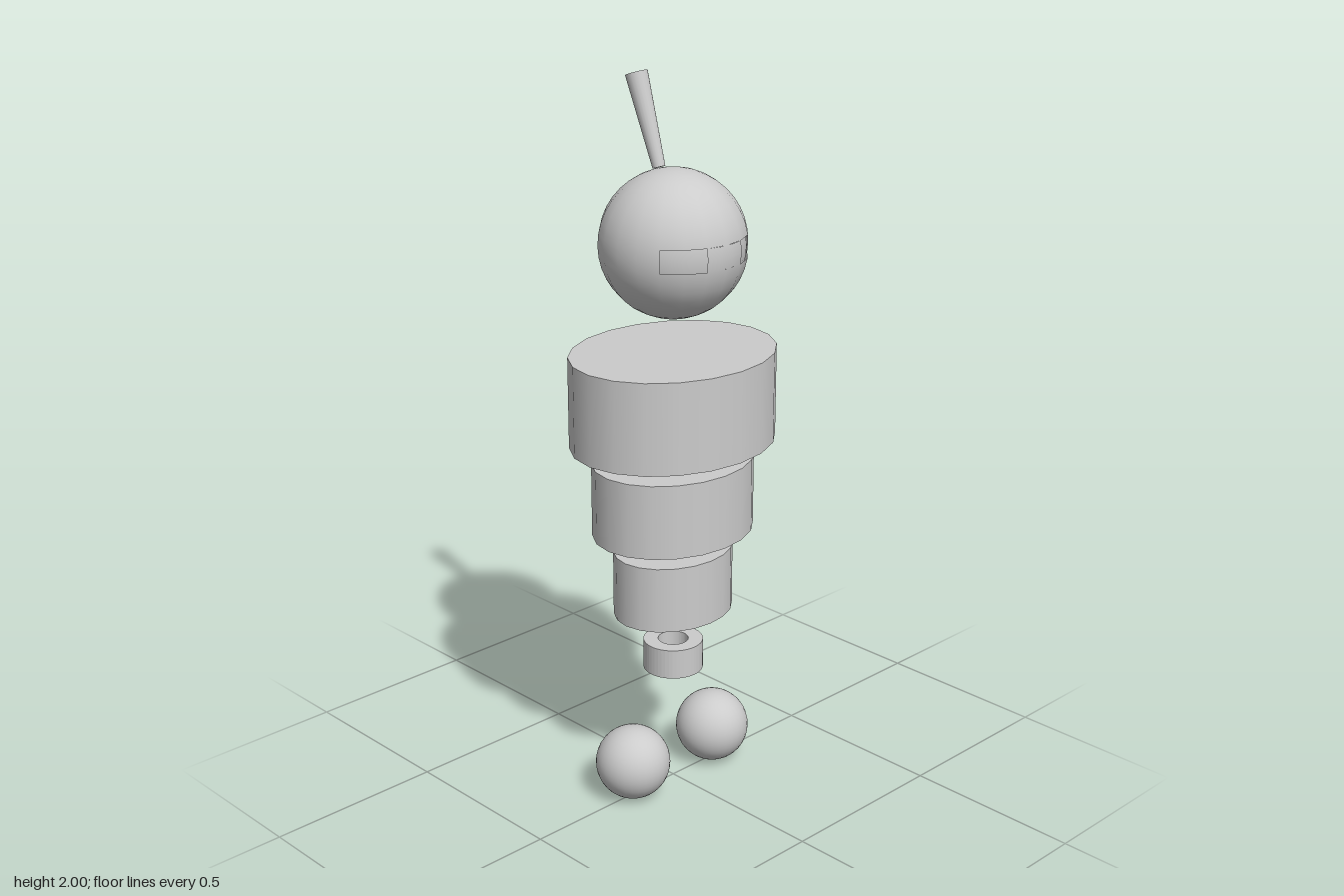
import * as THREE from 'three';

const mat = new THREE.MeshStandardMaterial({ color: 0xcccccc });
const shellMat = new THREE.MeshStandardMaterial({ color: 0xcccccc, side: THREE.DoubleSide });
const rad = THREE.MathUtils.degToRad;

function addMesh(parent, name, geometry, x, y, z, material = mat) {
  const mesh = new THREE.Mesh(geometry, material);
  mesh.name = name;
  mesh.position.set(x, y, z);
  parent.add(mesh);
  return mesh;
}

// Head: thin spherical shell with two eye slots over an inner sphere
function createHead() {
  const head = new THREE.Group();
  head.name = 'head';
  head.position.y = 1.566;
  const R = 0.197;
  const shell = (name, phi0, phi1, theta0, theta1) => {
    const geo = new THREE.SphereGeometry(R, Math.round((phi1 - phi0) / 18), Math.round((theta1 - theta0) / 9),
      rad(phi0), rad(phi1 - phi0), rad(theta0), rad(theta1 - theta0));
    addMesh(head, name, geo, 0, 0, 0, shellMat);
  };
  shell('headTop', 0, 360, 0, 81);
  shell('headBottom', 0, 360, 99, 180);
  shell('noseBridge', 72, 108, 81, 99);
  shell('headBand', 144, 396, 81, 99);
  addMesh(head, 'eyeSurface', new THREE.SphereGeometry(0.191, 40, 24), 0, 0, 0);
  return head;
}

export function createModel() {
  const model = new THREE.Group();
  model.name = 'floatingFigure';

  // Elliptical body drums: name, bottom, top, half width, half depth
  const drums = [
    ['chest', 1.024, 1.275, 0.3, 0.25],
    ['waist', 0.767, 0.974, 0.238, 0.198],
    ['hips', 0.529, 0.714, 0.178, 0.147],
  ];
  for (const [name, y0, y1, rx, rz] of drums) {
    const geo = new THREE.CylinderGeometry(1, 1, y1 - y0, 20).scale(rx, 1, rz);
    addMesh(model, name, geo, 0, (y0 + y1) / 2, 0);
  }

  // Short open tube under the hips
  const ring = new THREE.Shape().absarc(0, 0, 0.083, 0, Math.PI * 2);
  ring.holes.push(new THREE.Path().absarc(0, 0, 0.042, 0, Math.PI * 2, true));
  const ringGeo = new THREE.ExtrudeGeometry(ring, { depth: 0.085, bevelEnabled: false, curveSegments: 24 });
  ringGeo.rotateX(-Math.PI / 2);
  addMesh(model, 'baseRing', ringGeo, 0, 0.349, 0);

  // Ball feet
  for (const [name, side] of [['leftFoot', 1], ['rightFoot', -1]]) {
    addMesh(model, name, new THREE.SphereGeometry(0.104, 32, 20), side * 0.156, 0.105, 0);
  }

  model.add(createHead());

  // Backward-leaning tapered tuft on the head
  const tuft = addMesh(model, 'topTuft', new THREE.CylinderGeometry(0.03, 0.017, 0.247, 20), 0, 1.873, -0.094);
  tuft.rotation.x = -rad(19.6);

  return model;
}
